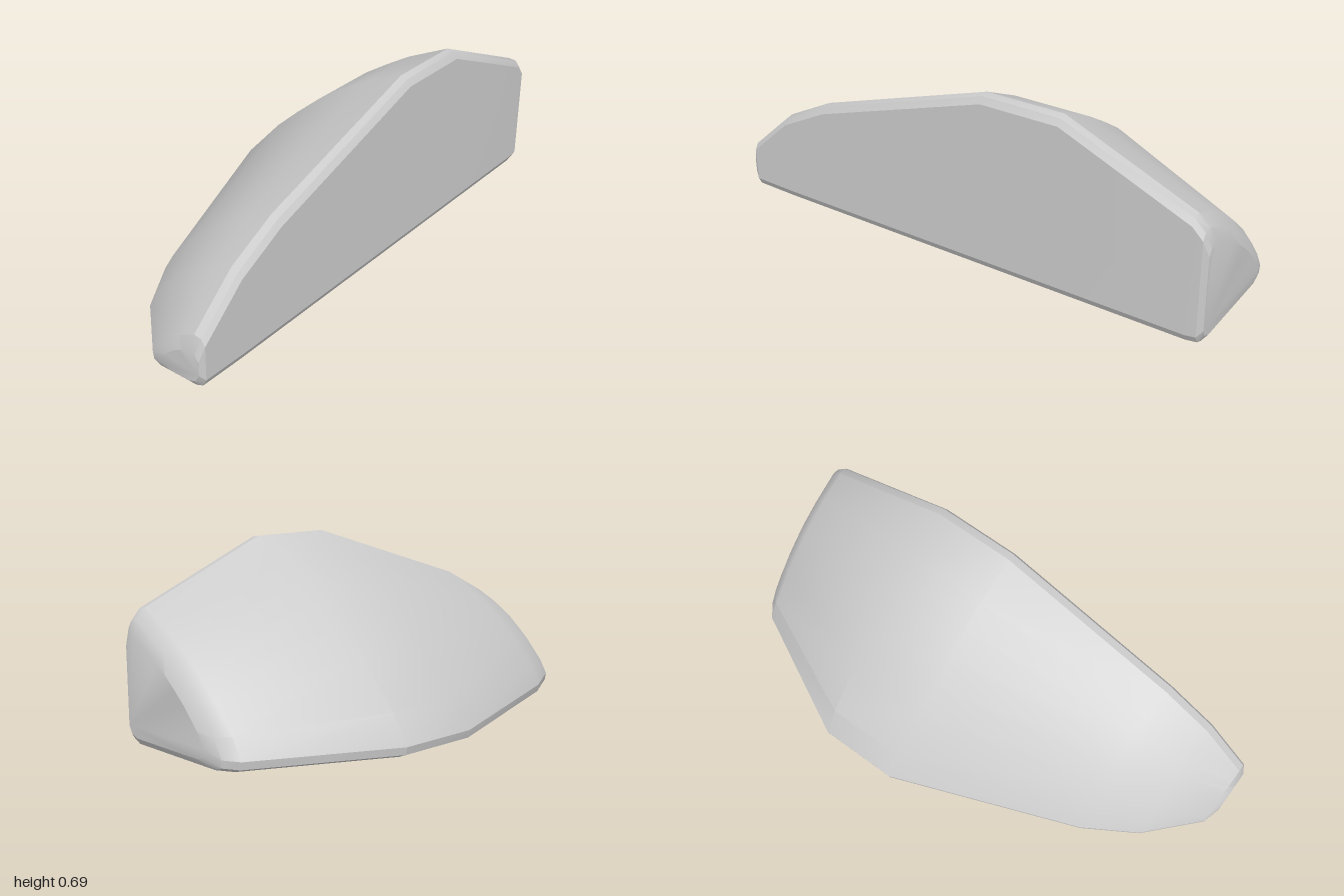
import * as THREE from 'three';
import { toCreasedNormals } from 'three/addons/utils/BufferGeometryUtils.js';

const FRONT = 0.415, DEPTH = 0.83, HEIGHT = 0.695;

// Bulged back curve: fraction of depth, fraction of height
const BULGE = [[0.217, 0.878], [0.344, 0.786], [0.471, 0.687], [0.6, 0.557], [0.726, 0.42], [0.917, 0.168]];

// Stations along x: position, size of the section, inset at front, inset at bottom
const STATIONS = [
  [-1, 0.21, 0.015, 0.025], [-0.98, 0.29, 0.002, 0.002], [-0.8, 0.52, 0, 0], [-0.6, 0.665, 0, 0],
  [0.13, 1, 0, 0], [0.44, 1, 0, 0],
  [0.94, 0.695, 0, 0], [0.98, 0.633, 0.003, 0.004], [1, 0.55, 0.015, 0.03],
];

// Cross-section with bevelled corners, as a loop of points: up the front, over the back, along the base
function section([x, size, inset, lift]) {
  const f = FRONT - inset, top = HEIGHT * size, back = FRONT - DEPTH * size;
  const low = lift + 0.04, start = f - 0.045;
  const loop = [[f, low], [f, top - 0.03], [f - 0.015, top - 0.005], [start, top]];
  for (const [u, v] of BULGE) loop.push([start + u * (back - start), low + v * (top - low)]);
  loop.push([back, low], [back + 0.005, lift + 0.012], [back + 0.035, lift], [start, lift], [f - 0.015, lift + 0.012]);
  return loop.map(([z, y]) => [x, y, z]);
}

// Skin through the sections, closed by a fan at each end
function loft(rings) {
  const n = rings[0].length, last = rings.length - 1, index = [];
  for (let i = 0; i < last; i++) {
    for (let j = 0; j < n; j++) {
      const k = (j + 1) % n, a = i * n, b = a + n;
      index.push(a + j, b + j, b + k, a + j, b + k, a + k);
    }
  }
  for (let j = 1; j < n - 1; j++) {
    index.push(0, j, j + 1);
    index.push(last * n, last * n + j + 1, last * n + j);
  }
  const geometry = new THREE.BufferGeometry();
  geometry.setAttribute('position', new THREE.Float32BufferAttribute(rings.flat(2), 3));
  geometry.setIndex(index);
  return toCreasedNormals(geometry, 0.45);
}

export function createModel() {
  const group = new THREE.Group();
  group.name = 'wedgeBlock';

  // Solid body with flat front, flat base and bulged back
  const body = new THREE.Mesh(loft(STATIONS.map(section)), new THREE.MeshStandardMaterial({ color: 0xcccccc }));
  body.name = 'body';
  group.add(body);
  return group;
}
